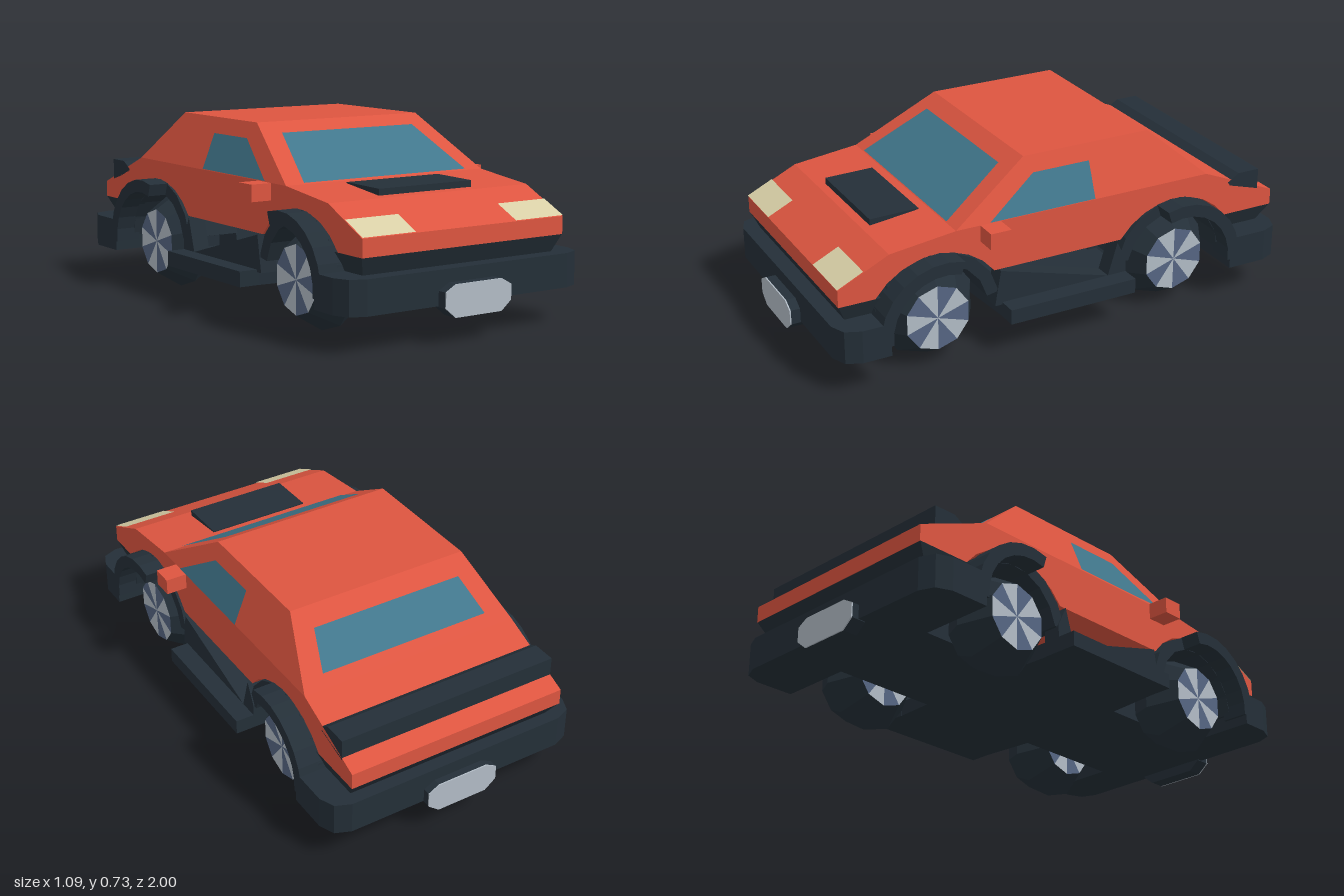
import * as THREE from 'three';

const mat = (name, color, side = THREE.FrontSide) => {
  const m = new THREE.MeshStandardMaterial({ color, side, flatShading: true });
  m.name = name;
  return m;
};

export function createModel() {
  const car = new THREE.Group();
  car.name = 'car';
  const red = mat('red paint', 0xdd5540);
  const dark = mat('dark trim', 0x242f38);
  const glass = mat('blue glass', 0x41778c, THREE.DoubleSide);
  const lamp = mat('cream lamp', 0xd8cfa6, THREE.DoubleSide);
  const silver = mat('silver', 0xb2bcc6);
  const steel = mat('blue steel', 0x566683);

  const add = (name, geo, material, parent = car) => {
    const m = new THREE.Mesh(geo, material);
    m.name = name;
    parent.add(m);
    return m;
  };
  const toShape = pts => new THREE.Shape(pts.map(p => new THREE.Vector2(p[0], p[1])));
  const extrude = (pts, depth) =>
    new THREE.ExtrudeGeometry(toShape(pts), { depth, bevelEnabled: false });
  // side profile of [z, y] points, extruded from x0 to x1
  const prism = (pts, x0, x1) => extrude(pts, x1 - x0).rotateY(-Math.PI / 2).translate(x1, 0, 0);
  // plan outline of [x, z] points, extruded from y0 to y1
  const slab = (pts, y0, y1) => extrude(pts, y1 - y0).rotateX(Math.PI / 2).translate(0, y1, 0);
  // mirrors a half outline (x > 0) across x = 0
  const mirrorX = half => [...half, ...half.map(([x, z]) => [-x, z]).reverse()];
  const arc = (cz, cy, r, a0, a1, n = 8) => Array.from({ length: n + 1 }, (_, i) => {
    const a = a0 + (a1 - a0) * i / n;
    return [cz + r * Math.cos(a), cy + r * Math.sin(a)];
  });
  const box = (x0, x1, y0, y1, z0, z1) => new THREE.BoxGeometry(x1 - x0, y1 - y0, z1 - z0)
    .translate((x0 + x1) / 2, (y0 + y1) / 2, (z0 + z1) / 2);
  // flat four-cornered face, corners counter-clockwise from outside
  const quad = (a, b, c, d) => {
    const g = new THREE.BufferGeometry();
    g.setAttribute('position', new THREE.Float32BufferAttribute([a, b, c, a, c, d].flat(), 3));
    g.computeVertexNormals();
    const n = g.attributes.normal;
    return g.translate(n.getX(0) * 0.004, n.getY(0) * 0.004, n.getZ(0) * 0.004);
  };
  // tapered block: bottom and top given as [halfWidth, zBack, zFront, y]
  const taper = (bottom, top) => {
    const g = new THREE.BoxGeometry(2, 2, 2);
    const p = g.attributes.position;
    for (let i = 0; i < p.count; i++) {
      const [w, zb, zf, y] = p.getY(i) < 0 ? bottom : top;
      p.setXYZ(i, p.getX(i) * w, y, p.getZ(i) < 0 ? zb : zf);
    }
    g.computeVertexNormals();
    return g;
  };

  const FZ = 0.54, RZ = -0.497, W = 0.46, OUT = 0.545;

  // lower body with wheel arches cut out, then the tapered cabin
  const cut = 0.63;
  add('body', prism([
    [-0.963, 0.337], ...arc(RZ, 0.16, 0.3, Math.PI - cut, cut),
    ...arc(FZ, 0.16, 0.3, Math.PI - cut, cut),
    [0.927, 0.337], [0.927, 0.405], [0.723, 0.503], [0.455, 0.535],
    [-0.643, 0.535], [-0.963, 0.402],
  ], -W, W), red);
  add('cabin', taper([W, -0.643, 0.455, 0.535], [0.38, -0.41, 0.134, 0.737]), red);

  // windows lie on the cabin's slopes
  const frontZ = y => 0.455 - (y - 0.535) * 1.589;
  const rearZ = y => -0.643 + (y - 0.535) * 1.153;
  const sideX = y => W - (y - 0.535) * 0.396;
  const f = (x, y) => [x, y, frontZ(y)], r = (x, y) => [x, y, rearZ(y)];
  add('windshield', quad(f(-0.38, 0.537), f(0.38, 0.537), f(0.31, 0.696), f(-0.31, 0.696)), glass);
  add('rearWindow', quad(r(0.36, 0.57), r(-0.36, 0.57), r(-0.32, 0.68), r(0.32, 0.68)), glass);

  for (const s of [1, -1]) {
    const side = s > 0 ? 'left' : 'right';
    const span = (a, b) => (s > 0 ? [a, b] : [-b, -a]);

    const win = [[0.316, 0.537], [-0.134, 0.537], [-0.134, 0.675], [0.107, 0.675]]
      .map(([z, y]) => [s * sideX(y), y, z]);
    if (s < 0) win.reverse();
    add(side + 'Window', quad(...win), glass);

    const [lx0, lx1] = span(0.23, W);
    add(side + 'Headlight', quad([lx0, 0.405, 0.927], [lx1, 0.405, 0.927],
      [lx1, 0.455, 0.823], [lx0, 0.455, 0.823]), lamp);

    const [mx0, mx1] = span(0.43, OUT);
    add(side + 'Mirror', box(mx0, mx1, 0.47, 0.535, 0.27, 0.355), red);

    // sill step with its wedge
    add(side + 'Sill', prism([[0.27, 0.14], [0.27, 0.2], [-0.275, 0.2], [-0.275, 0.14]],
      ...span(0.4, OUT)), dark);
    add(side + 'SillWedge', prism([[0.3, 0.19], [0.275, 0.333], [-0.195, 0.2], [-0.235, 0.333],
      [-0.275, 0.25], [-0.275, 0.19]], ...span(0.4, 0.47)), dark);

    for (const [end, cz, d] of [['Front', FZ, 1], ['Rear', RZ, -1]]) {
      // arch liner over the wheel, with a wide flare on the bumper side
      const ring = (a0, a1) => [...arc(0, 0.2, 0.262, a0, a1), ...arc(0, 0.2, 0.212, a1, a0)]
        .map(([z, y]) => [cz + d * z, y]);
      add(side + end + 'Arch', prism(ring(0, 2.95), ...span(0.24, 0.465)), dark);
      add(side + end + 'Flare', prism(ring(-0.1, 1.88), ...span(0.44, OUT)), dark);

      // ten-sided wheel, widest at the middle, with a two-tone hub on each face
      const wheel = new THREE.Group();
      wheel.name = side + end + 'Wheel';
      wheel.position.set(s * 0.36, 0.203, cz);
      car.add(wheel);
      for (const k of [1, -1]) {
        const half = new THREE.CylinderGeometry(0.132, 0.2, 0.113, 10, 1, true)
          .translate(0, 0.0565, 0).rotateY(Math.PI / 2).rotateZ(-k * Math.PI / 2);
        add('tyre', half, dark, wheel);
        const hub = new THREE.CircleGeometry(0.132, 10).rotateZ(Math.PI / 2)
          .rotateY(k * Math.PI / 2).translate(k * 0.113, 0, 0);
        for (let i = 0; i < 10; i++) hub.addGroup(i * 3, 3, i % 2);
        add('hub', hub, [silver, steel], wheel);
      }
    }
  }

  // wheel housings between the wheels
  for (const [name, cz] of [['frontHousing', FZ], ['rearHousing', RZ]])
    add(name, prism([[cz + 0.24, 0.14], ...arc(cz, 0.2, 0.255, 0, Math.PI), [cz - 0.24, 0.14]],
      -0.24, 0.24), dark);

  // floor pan, notched around the wheels
  add('floor', slab(mirrorX([[W, 0.9], [W, 0.79], [0.24, 0.79], [0.24, 0.29], [W, 0.27],
    [W, -0.27], [0.24, -0.28], [0.24, -0.75], [W, -0.75], [W, -0.9]]), 0.14, 0.2), dark);

  // bumpers with chamfered corners, lip under the body, and a plate
  const bumper = (z, edge, back) => slab(mirrorX(
    [[W, z], [0.52, z - edge * 0.025], [OUT, z - edge * 0.085], [OUT, back]]), 0.14, 0.27);
  add('frontBumper', bumper(0.958, 1, 0.76), dark);
  add('rearBumper', bumper(-0.967, -1, -0.72), dark);
  add('frontLip', taper([0.435, 0.76, 0.895, 0.27], [W, 0.76, 0.925, 0.337]), dark);
  add('rearLip', taper([0.435, -0.915, -0.72, 0.27], [W, -0.961, -0.72, 0.337]), dark);
  const plate = [[0.105, 0.1], [0.15, 0.137], [0.15, 0.195], [0.105, 0.22],
    [-0.105, 0.22], [-0.15, 0.195], [-0.15, 0.137], [-0.105, 0.1]];
  for (const [name, s] of [['front', 1], ['rear', -1]]) {
    add(name + 'PlateMount', extrude(plate, 0.06).translate(0, 0, s > 0 ? 0.935 : -0.995), dark);
    add(name + 'Plate', extrude(plate, 0.005).translate(0, 0, s > 0 ? 0.995 : -1), silver);
  }

  // hood scoop and tail spoiler
  add('hoodScoop', prism([[0.69, 0.5], [0.69, 0.532], [0.49, 0.535], [0.49, 0.52]],
    -0.215, 0.215), dark);
  add('spoiler', prism([[-0.75, 0.475], [-0.8, 0.505], [-0.895, 0.505], [-0.895, 0.42],
    [-0.76, 0.46]], -W, W), dark);

  return car;
}
